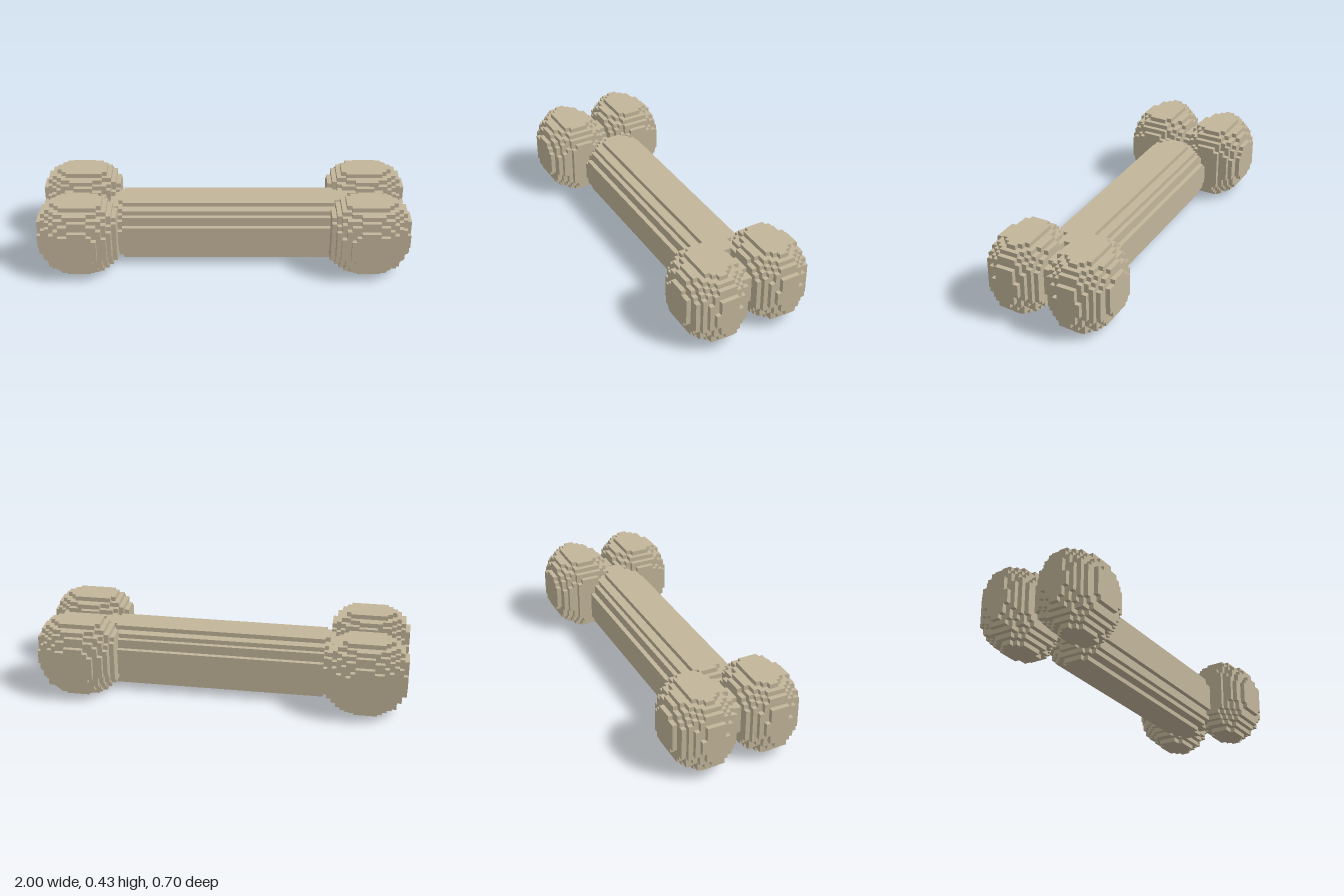
import * as THREE from 'three';

const V = 0.025; // block size

// Builds the outer faces of all blocks for which solid(i, j, k) is true.
function blockGeometry(min, max, solid) {
  const pos = [], nor = [];
  const inside = (c) => c.every((n, a) => n >= min[a] && n < max[a]) && solid(...c);
  for (let i = min[0]; i < max[0]; i++)
    for (let j = min[1]; j < max[1]; j++)
      for (let k = min[2]; k < max[2]; k++) {
        const c = [i, j, k];
        if (!inside(c)) continue;
        for (let a = 0; a < 3; a++)
          for (const s of [1, -1]) {
            const next = [...c];
            next[a] += s;
            if (inside(next)) continue;
            const u = (a + 1) % 3, w = (a + 2) % 3;
            const corner = (du, dw) => {
              const p = [...c];
              if (s > 0) p[a] += 1;
              p[u] += du;
              p[w] += dw;
              return p.map((n) => n * V);
            };
            const q = [corner(0, 0), corner(1, 0), corner(1, 1), corner(0, 1)];
            if (s < 0) q.reverse();
            const n = [0, 0, 0];
            n[a] = s;
            for (const t of [0, 1, 2, 0, 2, 3]) {
              pos.push(...q[t]);
              nor.push(...n);
            }
          }
      }
  const g = new THREE.BufferGeometry();
  g.setAttribute('position', new THREE.Float32BufferAttribute(pos, 3));
  g.setAttribute('normal', new THREE.Float32BufferAttribute(nor, 3));
  return g;
}

export function createModel() {
  const group = new THREE.Group();
  const bone = new THREE.MeshStandardMaterial({ color: 0xc2b59a });
  bone.name = 'bone';
  const add = (name, geometry) => {
    const mesh = new THREE.Mesh(geometry, bone);
    mesh.name = name;
    group.add(mesh);
  };

  // Shaft: round blocky bar along x; each entry is [end x, squared radius] in blocks
  const sections = [[-25, 14], [-24, 26], [-23, 40], [-22, 46], [24, 51], [27, 46]];
  add('shaft', blockGeometry([-26, 0, -7], [27, 14, 7], (i, j, k) => {
    const r2 = sections.find(([end]) => i < end)[1];
    return (j - 6.5) ** 2 + (k + 0.5) ** 2 <= r2;
  }));

  // Knobs: rounded balls with flattened sides, radius given per layer outward in z
  const layers = [0.2225, 0.219, 0.209, 0.19, 0.175, 0.15, 0.104];
  const P = 2.5;
  for (const sx of [1, -1])
    for (const sz of [1, -1]) {
      const min = [sx > 0 ? 23 : -40, 0, sz > 0 ? 0 : -14];
      const max = [sx > 0 ? 40 : -23, 17, sz > 0 ? 14 : 0];
      const name = (sz > 0 ? 'front' : 'back') + (sx > 0 ? 'Left' : 'Right') + 'Knob';
      add(name, blockGeometry(min, max, (i, j, k) => {
        const dx = Math.abs(sx * (i + 0.5) * V - 0.78);
        const dy = Math.abs((j + 0.5) * V - 0.2175);
        const layer = Math.floor(Math.abs(sz * (k + 0.5) - 7));
        return dx ** P + dy ** P <= layers[layer] ** P;
      }));
    }
  return group;
}
